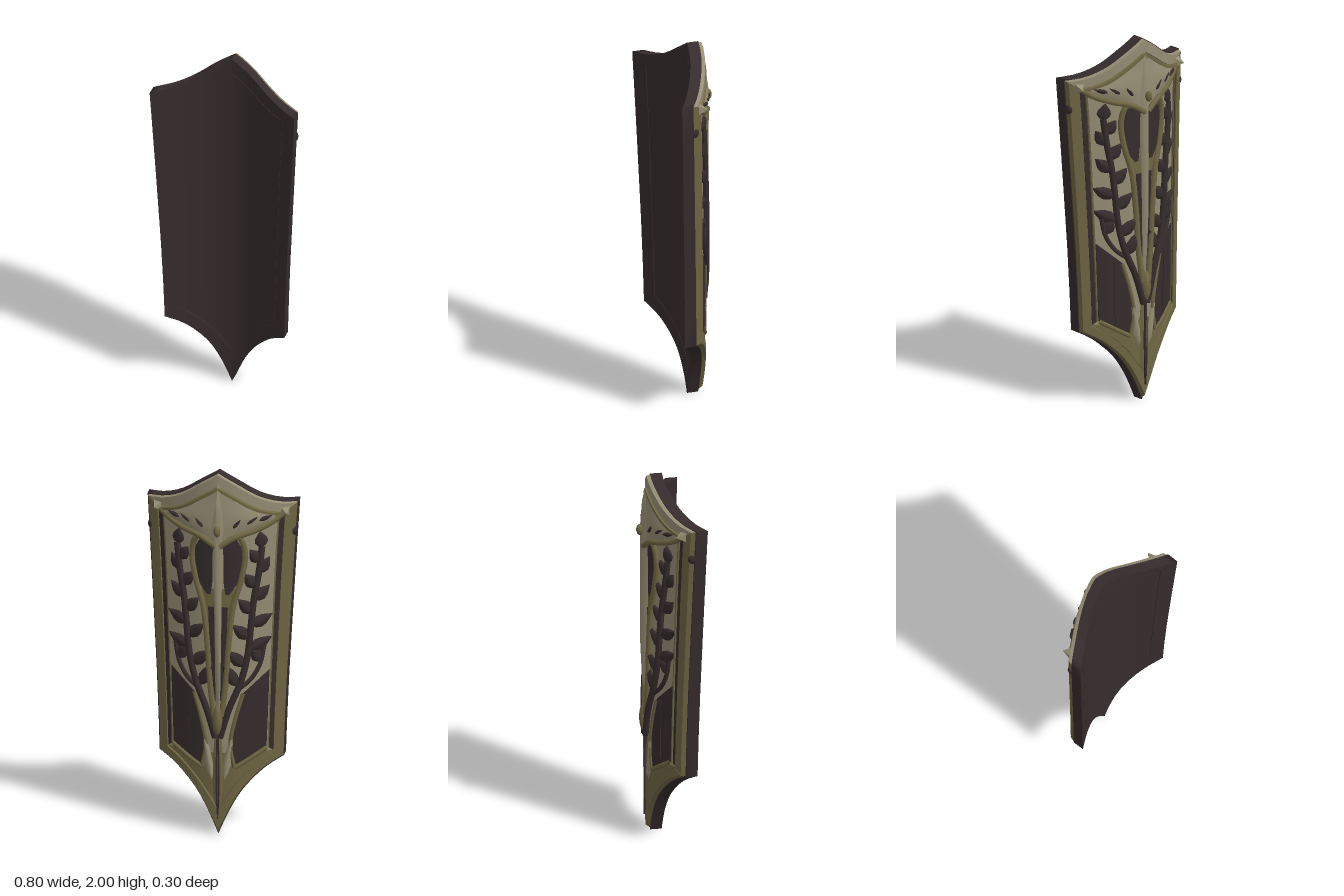
import * as THREE from 'three';

const mat = (name, color) => {
  const m = new THREE.MeshStandardMaterial({ color });
  m.name = name;
  return m;
};

// Smooth curve through a few points, sampled as [x, y] pairs
const smooth = (pts, n) =>
  new THREE.SplineCurve(pts.map(p => new THREE.Vector2(...p))).getPoints(n).map(v => [v.x, v.y]);

// Half outline from top tip to bottom tip (top arc, side, bottom arc)
const halfOutline = (top, side, bottom) =>
  [...smooth(top, 10), ...smooth(side, 6).slice(1), ...smooth(bottom, 12).slice(1)];
const OUTER = halfOutline([[0, 2], [.1, 1.937], [.2, 1.868], [.3, 1.825], [.4, 1.81]],
  [[.4, 1.81], [.382, 1.5], [.36, 1.1], [.342, .75], [.33, .41]],
  [[.33, .41], [.23, .35], [.127, .245], [.058, .13], [0, 0]]);
const INNER = halfOutline([[0, 1.91], [.09, 1.853], [.18, 1.795], [.25, 1.765], [.32, 1.75]],
  [[.32, 1.75], [.305, 1.5], [.288, 1.1], [.274, .75], [.265, .46]],
  [[.265, .46], [.185, .4], [.11, .325], [.055, .26], [0, .19]]);
const SIDE = [10, 17]; // index range of the straight side
const outline = k => OUTER.map(([x, y], i) => [x + (INNER[i][0] - x) * k, y + (INNER[i][1] - y) * k]);
const flipX = pts => pts.map(([x, y]) => [-x, y]);

// Hollow front curve of the shield; depth is measured from it towards the back
const curve = x => -.015 + .667 * (Math.sqrt(x * x + .04) - .2);

// Solid strip between two matching point rows, bent to the shield curve
function strip(left, right, d0, d1, { nx = 4, bulge = 0, bevel = 0 } = {}) {
  const n = left.length - 1;
  const g = new THREE.BoxGeometry(1, 1, 1, nx, n, 1);
  const p = g.attributes.position;
  for (let i = 0; i < p.count; i++) {
    const back = p.getZ(i) < 0, t = p.getY(i) + .5, row = Math.round(t * n);
    let u = p.getX(i) + .5;
    const lift = back ? bulge * Math.sin(Math.PI * u) * Math.min(1, 5 * t, 5 * (1 - t)) : 0;
    if (back) u = bevel + u * (1 - 2 * bevel);
    const [a, b] = [left[row], right[row]];
    const x = a[0] + (b[0] - a[0]) * u, y = a[1] + (b[1] - a[1]) * u;
    p.setXYZ(i, x, y, curve(x) - (back ? d1 + lift : d0));
  }
  // Keep faces outward whichever way the rows run
  const loop = [...left, ...right.slice().reverse()];
  const area = loop.reduce((s, [x, y], i) => {
    const [x2, y2] = loop[(i + 1) % loop.length];
    return s + x * y2 - x2 * y;
  }, 0);
  if (area > 0) {
    const ix = g.index.array;
    for (let i = 0; i < ix.length; i += 3) [ix[i], ix[i + 2]] = [ix[i + 2], ix[i]];
  }
  g.computeVertexNormals();
  return g;
}

// Round strand along [x, y, depth] points
function strand(pts, r) {
  const path = new THREE.CatmullRomCurve3(pts.map(([x, y, d]) => new THREE.Vector3(x, y, curve(x) - d)));
  return new THREE.TubeGeometry(path, 28, r, 7);
}

// Two edges of a pointed leaf
function leafEdges(x, y, angle, len, wide) {
  const edge = s => [0, .15, .35, .6, .82, 1].map((t, i) => {
    const w = s * wide * [0, .32, .5, .42, .2, 0][i], a = t * len;
    return [x + a * Math.cos(angle) - w * Math.sin(angle), y + a * Math.sin(angle) + w * Math.cos(angle)];
  });
  return [edge(1), edge(-1)];
}

export function createModel() {
  const dark = mat('darkWood', 0x362c2d);
  const olive = mat('oldBrass', 0x6f6643);
  const khaki = mat('paleBrass', 0x958d74);
  const model = new THREE.Group();
  model.name = 'shield';

  const add = (name, geo, m) => {
    const mesh = new THREE.Mesh(geo, m);
    mesh.name = name;
    model.add(mesh);
  };
  const both = (name, L, R, d0, d1, m, opt) => {
    add(name + 'Left', strip(L, R, d0, d1, opt), m);
    add(name + 'Right', strip(flipX(L), flipX(R), d0, d1, opt), m);
  };
  const strands = (name, pts, r, m) => {
    add(name + 'Left', strand(pts, r), m);
    add(name + 'Right', strand(pts.map(([x, y, d]) => [-x, y, d]), r), m);
  };
  const leaf = (name, x, y, a, len, wide, d, m) => {
    const [L, R] = leafEdges(x, y, a, len, wide);
    both(name, L, R, .06, d, m, { bulge: .014 });
  };
  const slab = (name, k, d0, d1, m) =>
    add(name, strip(flipX(outline(k)), outline(k), d0, d1, { nx: 32 }), m);
  const band = (name, k0, k1, from, to, d, m, bevel) =>
    both(name, outline(k0).slice(from, to), outline(k1).slice(from, to), .055, d, m, { bevel });

  // Board, front rim and front panel with a fine groove between them
  slab('board', .06, .005, .06, dark);
  both('frontRim', outline(0), outline(.985), 0, .062, dark);
  slab('frontPanel', 1.03, 0, .03, dark);

  // Back field, and the frame: pale along the top, brass down the sides and to the tip
  slab('backField', .9, .055, .074, khaki);
  band('topFrame', .03, .85, 0, 11, .082, khaki, .1);
  band('topBead', .8, 1.1, 0, 11, .09, olive, .2);
  band('sideFrame', .03, .85, ...SIDE, .084, olive, .12);
  band('sideGroove', .82, 1.12, ...SIDE, .077, dark);
  band('innerBead', 1.1, 1.25, ...SIDE, .084, olive, .2);
  band('bottomFrame', .03, .85, 16, 29, .086, olive, .15);
  const lowerEdge = outline(.8).slice(16);
  both('lowerField', lowerEdge.map(([, y]) => [0, y]), lowerEdge, .055, .077, olive, { nx: 10 });

  // Raised pale panel under the top edge
  both('topPanel', [[.01, 1.9], [.1, 1.84], [.19, 1.785], [.29, 1.755]],
    [[.01, 1.62], [.1, 1.66], [.19, 1.69], [.29, 1.735]], .06, .088, khaki, { bulge: .014 });
  for (const [x, y, a] of [[.08, 1.7, .9], [.15, 1.72, .6], [.21, 1.735, .3]]) leaf('topFleck', x, y, a, .07, .025, .094, dark);

  // Brow strand sweeping from the spine to each upper corner
  strands('brow', [[.01, 1.6, .1], [.09, 1.65, .095], [.19, 1.68, .088], [.28, 1.72, .08], [.345, 1.77, .08]], .015, olive);

  // Corner studs and side nubs
  for (const s of [1, -1]) {
    const cone = new THREE.ConeGeometry(.062, .085, 4);
    cone.rotateY(Math.PI / 4);
    cone.rotateX(-Math.PI / 2);
    cone.rotateY(-s * .35);
    cone.translate(s * .338, 1.765, .03);
    const stud = cone.toNonIndexed();
    stud.computeVertexNormals();
    add('cornerStud', stud, khaki);
    const nub = new THREE.SphereGeometry(.028, 8, 6);
    nub.scale(.7, 1, .8);
    nub.translate(s * .376, 1.65, .07);
    add('sideNub', nub, dark);
  }

  // Dark hollows beside the spine, framed by a curving neck strand
  both('hollow', smooth([[.025, 1.6], [.03, 1.52], [.03, 1.4], [.04, 1.33]], 8),
    smooth([[.09, 1.64], [.13, 1.56], [.115, 1.42], [.06, 1.33]], 8), .06, .082, dark);
  both('neckWeb', [[.02, 1.36], [.015, 1.1], [.012, .72]], [[.09, 1.36], [.052, 1.1], [.03, .72]], .06, .079, olive);
  both('spineGroove', [[.02, 1.26], [.018, 1.1], [.012, .74]], [[.052, 1.26], [.046, 1.1], [.034, .74]], .06, .083, dark);
  strands('neck', [[.05, 1.63, .085], [.11, 1.65, .088], [.14, 1.56, .085], [.122, 1.42, .085], [.08, 1.27, .085],
    [.058, 1.08, .085], [.042, .85, .085], [.02, .66, .09]], .016, olive);

  // Lower dark panels with brass borders
  const pL = [[.085, .37], [.065, .5], [.09, .64], [.13, .78]];
  const pR = [[.245, .47], [.25, .6], [.255, .74], [.26, .9]];
  both('lowerPanel', pL, pR, .06, .081, dark);
  strands('panelInnerBorder', pL.map(([x, y]) => [x, y, .08]), .011, olive);
  strands('panelBottomBorder', [[.085, .37, .08], [.16, .415, .08], [.245, .47, .08]], .012, olive);
  both('panelSlat', [[.16, .44], [.165, .78]], [[.168, .445], [.173, .785]], .06, .085, dark);

  // Vine with a side branch and leaves on either side
  strands('vine', [[.012, .54, .09], [.06, .7, .09], [.12, .85, .088], [.155, 1.0, .088], [.17, 1.15, .088],
    [.185, 1.3, .086], [.21, 1.45, .084], [.225, 1.59, .08]], .018, dark);
  strands('vineBranch', [[.1, .8, .085], [.17, .86, .083], [.215, .94, .082], [.235, 1.04, .08]], .012, dark);
  const leaves = [[.1, .82, 2.1, .15], [.14, .93, 2.4, .13], [.16, 1.02, .5, .13], [.163, 1.08, 2.4, .12],
    [.17, 1.15, .5, .12], [.178, 1.22, 2.3, .11], [.185, 1.29, .8, .11], [.195, 1.36, 2.2, .1], [.207, 1.44, 1, .1],
    [.215, 1.5, 2.2, .09], [.225, 1.58, 1.7, .09], [.22, .95, 2.1, .09]];
  for (const [x, y, a, len] of leaves) leaf('vineLeaf', x, y, a, len, .066, .082, dark);

  // Central spine, ridged, from the top tip to the lower knot
  const spineR = [[.004, 1.98], [.022, 1.85], [.045, 1.7], [.03, 1.6], [.022, 1.4], [.018, 1.1], [.018, .85], [.012, .68]];
  add('spine', strip(flipX(spineR), spineR, .055, .077, { nx: 2, bulge: .04 }), khaki);
  const crest = new THREE.SphereGeometry(.02, 10, 8);
  crest.scale(.9, 1.5, 1);
  crest.translate(0, 1.69, -.132);
  add('crestKnob', crest, olive);
  const knot = new THREE.SphereGeometry(.036, 10, 8);
  knot.scale(.8, 2.4, .9);
  knot.translate(0, .635, -.104);
  add('lowerKnot', knot, olive);

  // Tapering stem below the knot, with pale side blades
  const stemR = [[.012, .6], [.025, .45], [.03, .3], [.022, .18], [.004, .09]];
  add('stem', strip(flipX(stemR), stemR, .055, .075, { nx: 2, bulge: .022 }), olive);
  const coreR = stemR.map(([x, y]) => [x * .35, y]);
  add('stemCore', strip(flipX(coreR), coreR, .07, .096, { nx: 2 }), dark);
  leaf('lowerBlade', .032, .3, 1.4, .27, .042, .08, khaki);

  return model;
}
